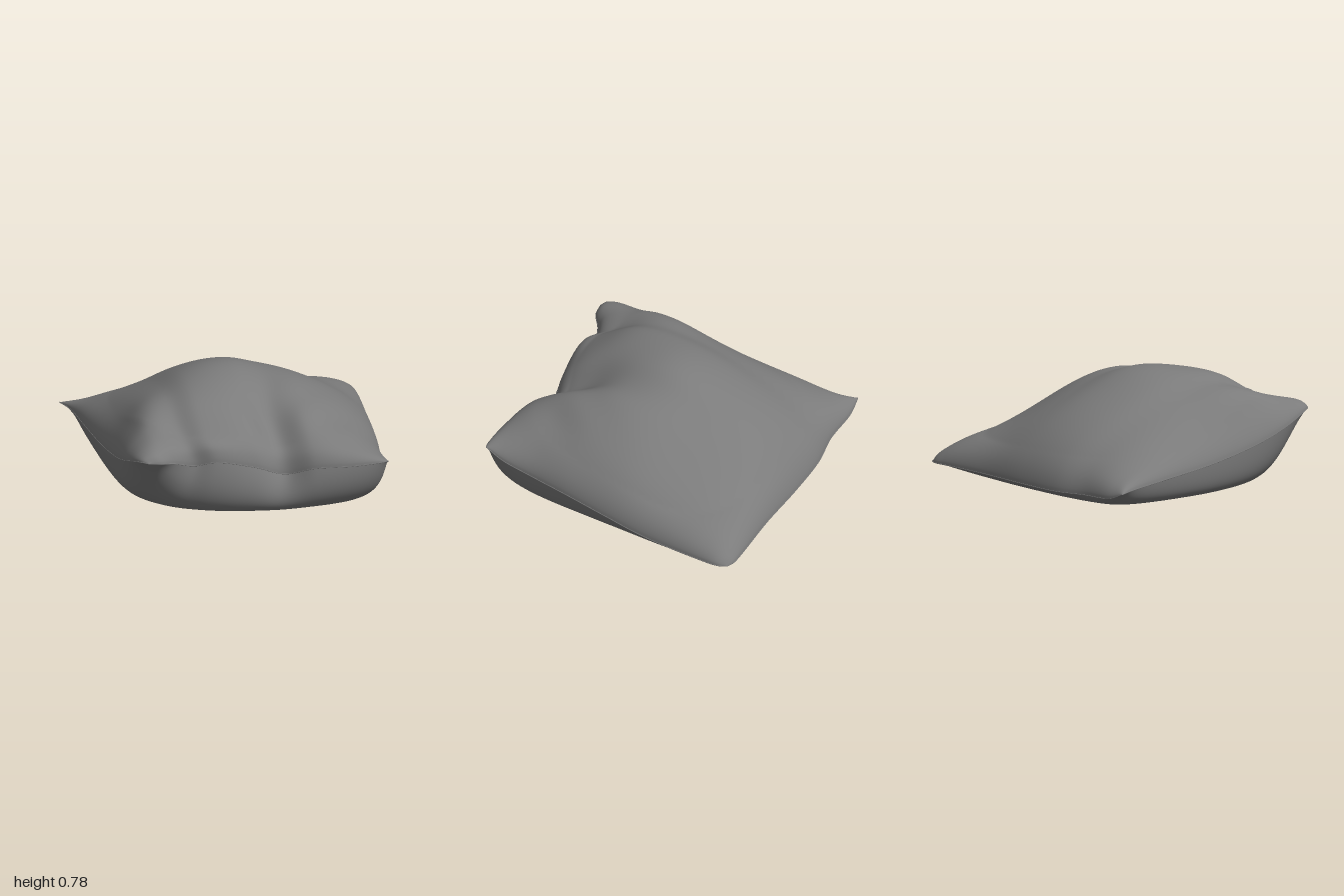
import * as THREE from 'three';

const N = 110; // grid divisions per panel

// Corners of the seam (left/right here mean -x/+x)
const FL = [-0.75, 0.49, 0.9], FR = [0.865, 0.38, 0.925];
const BL = [-1.0, 0.165, -0.89], BR = [0.955, 0.085, -0.92];

const curve = (...pts) => new THREE.CatmullRomCurve3(pts.map((p) => new THREE.Vector3(...p)));

// The four seam edges; front/back run towards +x, the sides run towards +z
const front = curve(FL, [-0.66, 0.475, 0.89], [-0.56, 0.44, 0.825], [-0.42, 0.4, 0.795], [-0.28, 0.43, 0.835],
  [0, 0.36, 0.82], [0.19, 0.285, 0.79], [0.38, 0.35, 0.885], [0.62, 0.365, 0.93], [0.82, 0.378, 0.935], FR);
const back = curve(BL, [-0.88, 0.12, -0.9], [-0.6, 0.1, -0.895], [-0.35, 0.09, -0.935], [0, 0.09, -0.945],
  [0.4, 0.09, -0.935], [0.8, 0.088, -0.945], [0.9, 0.085, -0.94], BR);
const left = curve(BL, [-0.955, 0.17, -0.76], [-0.93, 0.2, -0.45], [-0.9, 0.25, 0], [-0.875, 0.33, 0.4],
  [-0.86, 0.4, 0.62], [-0.825, 0.47, 0.8], [-0.79, 0.49, 0.87], FL);
const right = curve(BR, [0.985, 0.09, -0.86], [0.99, 0.1, -0.7], [0.97, 0.13, -0.3], [0.945, 0.18, 0],
  [0.915, 0.23, 0.3], [0.88, 0.27, 0.6], [0.875, 0.32, 0.8], FR);

// Smooth bump centred on (cu, cv) with widths (wu, wv)
const bump = (u, v, cu, cv, wu, wv) => Math.exp(-(((u - cu) / wu) ** 2) - ((v - cv) / wv) ** 2);

// Blend the four seam edges into one surface (Coons patch), s and t in 0..1
function seamSurface(s, t) {
  const f = front.getPointAt(s), b = back.getPointAt(s);
  const l = left.getPointAt(t), r = right.getPointAt(t);
  const mix = (k) => {
    const c = (1 - t) * ((1 - s) * BL[k] + s * BR[k]) + t * ((1 - s) * FL[k] + s * FR[k]);
    const a = 'xyz'[k];
    return (1 - t) * b[a] + t * f[a] + (1 - s) * l[a] + s * r[a] - c;
  };
  return new THREE.Vector3(mix(0), mix(1), mix(2));
}

// Upper panel: domed, with soft corners and a fold from the crown to the front seam
function inflateTop(p, u, v) {
  const e = Math.max(0, (1 - u * u) * (1 - v * v));
  const dome = 0.575 * Math.pow(e, 0.67 - 0.12 * u * u * v * v);
  const crown = 0.03 * bump(u, v, -0.08, 0.02, 0.35, 0.3);
  const quarters = 0.06 * bump(u, v, -0.75, 0.42, 0.26, 0.32) - 0.015 * bump(u, v, 0.7, 0.4, 0.3, 0.35)
    - 0.03 * bump(u, v, -0.55, -0.55, 0.4, 0.4) - 0.075 * bump(u, v, 0.58, -0.52, 0.42, 0.45);
  const fold = -0.05 * bump(u - 0.25 * (v - 0.7), v, 0.15, 0.72, 0.18, 0.25);
  const frontHollow = -0.05 * bump(u, v, -0.42, 0.82, 0.26, 0.22);
  const ripples = 0.005 * Math.sin(16 * (u + 0.7 * v)) * bump(u, v, 0.55, 0.55, 0.3, 0.3);
  p.y += dome + (crown + quarters + fold + frontHollow + ripples) * Math.min(1, e * 4);
}

// Lower panel: drops from the seam onto a flat base; the front left corner is lifted
function inflateBottom(p, u, v) {
  const e = Math.max(0, (1 - u * u) * (1 - v * v));
  const lifted = bump(u, v, -1, 1, 0.75, 0.6);
  const q = Math.exp(-THREE.MathUtils.lerp(10 + 10 * u * u * v * v, 3.5, lifted) * e);
  const ground = 0.022 * Math.max(0, -p.z) + 0.012 * u * u;
  const bulge = 0.16 * q * (1 - q) * THREE.MathUtils.smoothstep(v, 0.4, 0.9) * (1 - lifted);
  p.y = ground + (p.y - ground) * q;
  p.x = THREE.MathUtils.lerp(0.93 * u * (1 - 0.05 * v), p.x, q);
  p.z = THREE.MathUtils.lerp(0.9 * v, p.z, q) + bulge;
}

// Grid mesh over the seam outline, with rows packed closer near the seam
function panel(name, inflate, up, material) {
  const pos = [], index = [], W = N + 1;
  const pack = (i) => {
    const a = i / N * 2 - 1;
    return 0.15 * a + 0.85 * Math.sin(a * Math.PI / 2);
  };
  for (let j = 0; j <= N; j++) {
    for (let i = 0; i <= N; i++) {
      const u = pack(i), v = pack(j);
      const p = seamSurface((u + 1) / 2, (v + 1) / 2);
      inflate(p, u, v);
      pos.push(p.x, p.y, p.z);
      if (i < N && j < N) {
        const a = j * W + i, b = a + 1, c = a + W, d = c + 1;
        if (up) index.push(a, c, b, b, c, d);
        else index.push(a, b, c, b, d, c);
      }
    }
  }
  const g = new THREE.BufferGeometry();
  g.setAttribute('position', new THREE.Float32BufferAttribute(pos, 3));
  g.setIndex(index);
  g.computeVertexNormals();
  const mesh = new THREE.Mesh(g, material);
  mesh.name = name;
  return mesh;
}

export function createModel() {
  const model = new THREE.Group();
  model.name = 'cushion';
  const fabric = new THREE.MeshStandardMaterial({ color: 0x7b7b7b, side: THREE.DoubleSide });

  model.add(panel('topPanel', inflateTop, true, fabric));
  model.add(panel('bottomPanel', inflateBottom, false, fabric));

  // Thin seam where the panels meet
  const seam = new THREE.Group();
  seam.name = 'seam';
  for (const edge of [front, back, left, right]) {
    const mesh = new THREE.Mesh(new THREE.TubeGeometry(edge, 100, 0.003, 6), fabric);
    mesh.name = 'seamEdge';
    seam.add(mesh);
  }
  model.add(seam);
  return model;
}
